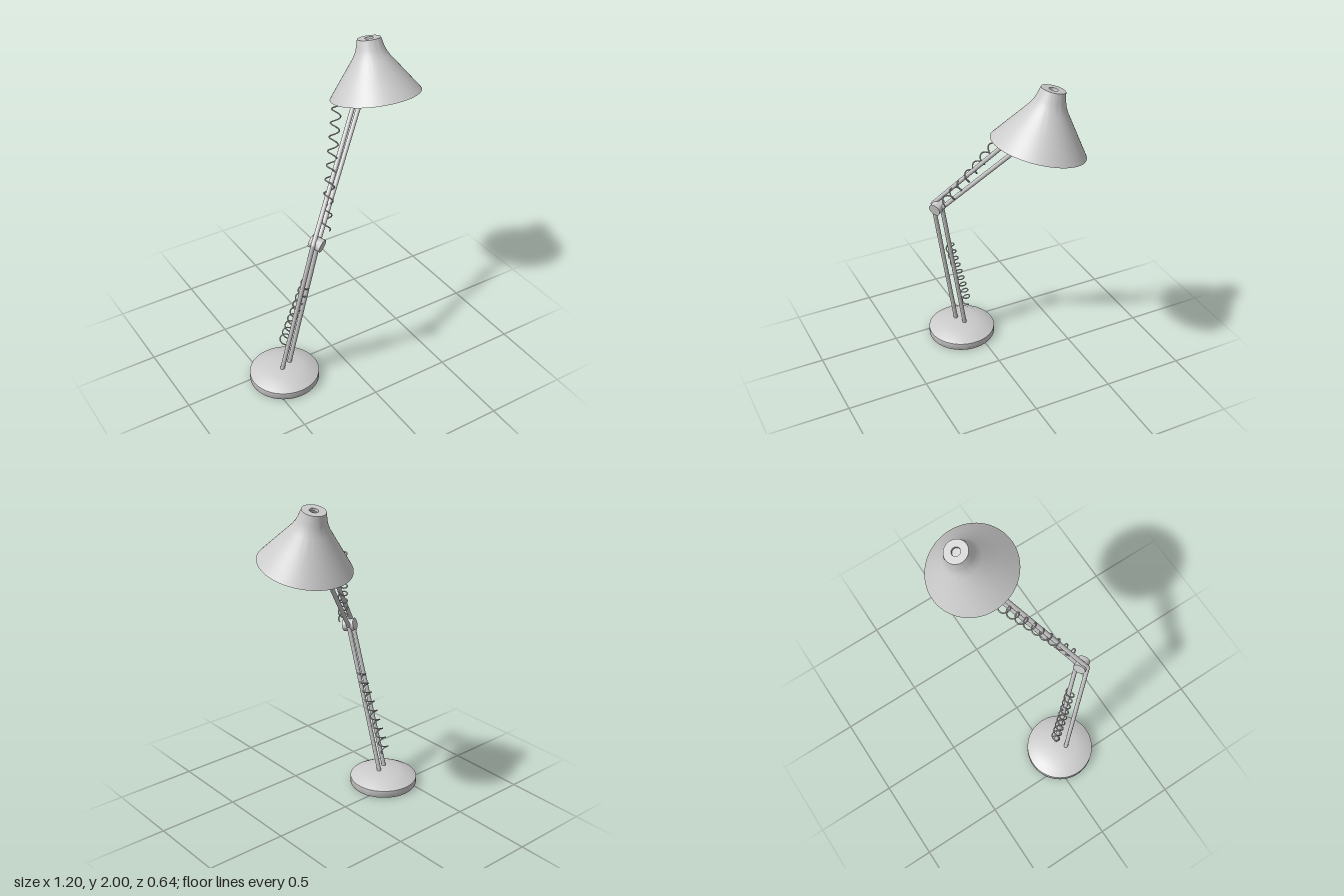
import * as THREE from 'three';
import { toCreasedNormals } from 'three/addons/utils/BufferGeometryUtils.js';

const V = (x, y, z) => new THREE.Vector3(x, y, z);
const UP = V(0, 1, 0);

export function createModel() {
  const lamp = new THREE.Group();
  lamp.name = 'deskLamp';
  const grey = new THREE.MeshStandardMaterial({ color: 0xcccccc });
  grey.name = 'light grey';

  const add = (name, geometry, parent = lamp) => {
    const mesh = new THREE.Mesh(geometry, grey);
    mesh.name = name;
    parent.add(mesh);
    return mesh;
  };

  // Turned part with sharp edges kept where the profile bends strongly
  const lathe = (points, segments = 64) => toCreasedNormals(
    new THREE.LatheGeometry(points.map(([r, y]) => new THREE.Vector2(r, y)), segments), 0.6);

  // Round-ended rod between two points
  const rod = (name, a, b, radius = 0.013) => {
    const mesh = add(name, new THREE.CapsuleGeometry(radius, a.distanceTo(b), 6, 16));
    mesh.position.copy(a).lerp(b, 0.5);
    mesh.quaternion.setFromUnitVectors(UP, b.clone().sub(a).normalize());
  };

  // Coil spring wound around the line from a to b
  const spring = (name, a, b, turns, radius = 0.027) => {
    const length = a.distanceTo(b), points = [], steps = turns * 12;
    for (let i = 0; i <= steps; i++) {
      const t = i / steps, angle = t * turns * Math.PI * 2;
      points.push(V(Math.cos(angle) * radius, t * length, Math.sin(angle) * radius));
    }
    const mesh = add(name, new THREE.TubeGeometry(
      new THREE.CatmullRomCurve3(points), steps * 2, 0.004, 8));
    mesh.position.copy(a);
    mesh.quaternion.setFromUnitVectors(UP, b.clone().sub(a).normalize());
  };

  // Weighted foot with a domed top
  add('base', lathe([[0, 0], [0.207, 0], [0.211, 0.006], [0.211, 0.048], [0.165, 0.074],
    [0.11, 0.089], [0.055, 0.096], [0, 0.098]])).position.set(-0.39, 0, 0.08);

  // Paired arms, meeting at the elbow
  const elbowRight = V(-0.3, 1.075, 0.287), elbowLeft = V(-0.243, 1.067, 0.253);
  rod('lowerArmRight', V(-0.422, 0.07, 0.103), elbowRight);
  rod('lowerArmLeft', V(-0.354, 0.07, 0.072), elbowLeft);
  rod('upperArmRight', elbowRight, V(0.262, 1.8, -0.095));
  rod('upperArmLeft', elbowLeft, V(0.345, 1.8, -0.137));

  // Elbow hinge across the plane of the arms
  const hinge = add('elbowHinge', toCreasedNormals(new THREE.CylinderGeometry(0.038, 0.038, 0.072, 32), 0.6));
  hinge.position.set(-0.265, 1.067, 0.27);
  hinge.quaternion.setFromUnitVectors(UP, V(0.485, -0.22, 0.84).normalize());

  // Balance springs
  spring('lowerSpring', V(-0.375, 0.23, 0.045), V(-0.29, 0.77, 0.195), 9);
  spring('upperSpring', V(-0.2, 1.12, 0.255), V(0.07, 1.69, -0.055), 9);

  // Tilted head: hollow shade, socket and bulb
  const head = new THREE.Group();
  head.name = 'head';
  head.position.set(0.335, 1.67, -0.064);
  head.rotation.x = -0.251;
  lamp.add(head);
  add('shade', lathe([[0.262, 0], [0.18, 0.113], [0.108, 0.212], [0.09, 0.243], [0.08, 0.27],
    [0.067, 0.323], [0.025, 0.323], [0.025, 0.307], [0.055, 0.307], [0.067, 0.265], [0.077, 0.236],
    [0.094, 0.204], [0.166, 0.105], [0.243, 0], [0.262, 0]]), head);
  add('socket', new THREE.CylinderGeometry(0.035, 0.035, 0.12, 32), head).position.y = 0.235;
  add('bulb', new THREE.SphereGeometry(0.068, 32, 20), head).position.y = 0.12;

  return lamp;
}
